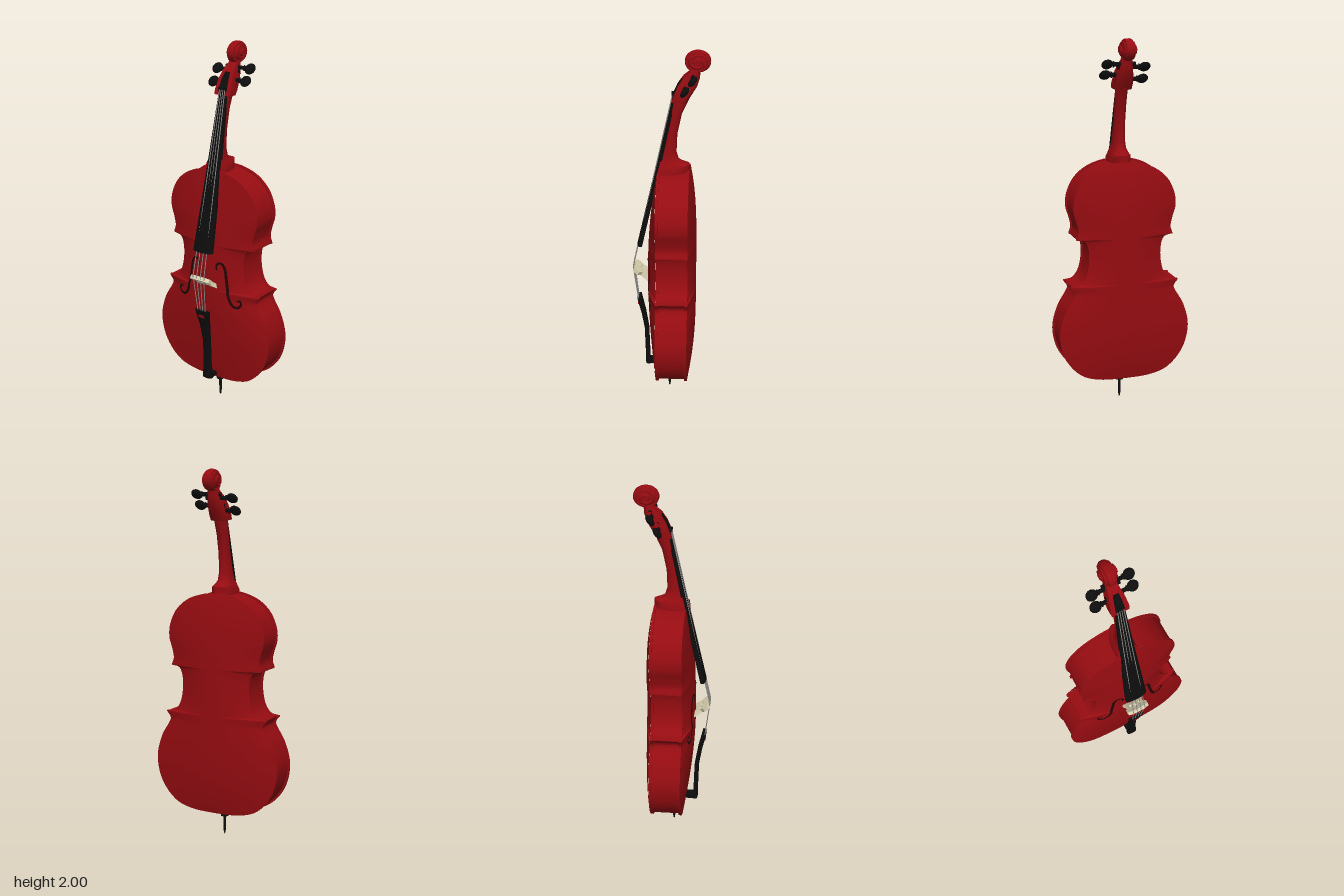
import * as THREE from 'three';
import { toCreasedNormals } from 'three/addons/utils/BufferGeometryUtils.js';

const V2 = (p) => new THREE.Vector2(p[0], p[1]);
const V3 = (x, y, z) => new THREE.Vector3(x, y, z);

// Half outline of the body: lower bout, waist and upper bout meet at sharp corners
const BOUTS = [
  [[0, 0.145], [0.14, 0.152], [0.25, 0.19], [0.335, 0.29], [0.365, 0.42], [0.337, 0.54], [0.288, 0.625], [0.28, 0.655], [0.302, 0.685]],
  [[0.302, 0.69], [0.25, 0.7], [0.215, 0.75], [0.2, 0.83], [0.205, 0.9], [0.225, 0.937], [0.268, 0.946]],
  [[0.268, 0.952], [0.257, 0.99], [0.267, 1.04], [0.284, 1.1], [0.278, 1.17], [0.24, 1.25], [0.17, 1.31], [0.08, 1.342], [0, 1.35]],
];
const HALF = BOUTS.flatMap((b) => new THREE.SplineCurve(b.map(V2)).getPoints(36));

function outlineShape(inset) {
  const side = HALF.map((p) => V2([Math.max(0, p.x - inset), 0.7475 + (p.y - 0.7475) * (1 - inset / 0.6)]));
  const other = side.slice(1, -1).reverse().map((p) => V2([-p.x, p.y]));
  return new THREE.Shape([...side, ...other]);
}

function slab(inset, z0, z1) {
  const g = new THREE.ExtrudeGeometry(outlineShape(inset), { depth: z1 - z0, bevelEnabled: false });
  return toCreasedNormals(g.translate(0, 0, z0), 0.6);
}

// Height of the arched plate; t runs from -1 to 1 across the width
function archZ(front, t, y) {
  const s = Math.abs((y - 0.7475) / 0.6025);
  const rise = (1 - t * t) * (1 - Math.pow(Math.min(1, s), front ? 2 : 4));
  return front ? 0.07 + 0.054 * rise : -0.1 - 0.04 * rise;
}

function archedPlate(front) {
  const cols = 24, pos = [], idx = [];
  HALF.forEach((p, i) => {
    for (let j = 0; j <= cols; j++) {
      const t = (2 * j) / cols - 1;
      pos.push(p.x * t, p.y, archZ(front, t, p.y));
      if (i && j) {
        const d = i * (cols + 1) + j, c = d - 1, b = d - cols - 1, a = b - 1;
        idx.push(...(front ? [a, b, d, a, d, c] : [a, d, b, a, c, d]));
      }
    }
  });
  const g = new THREE.BufferGeometry();
  g.setAttribute('position', new THREE.Float32BufferAttribute(pos, 3));
  g.setIndex(idx);
  g.computeVertexNormals();
  return g;
}

// Loft through sections [yFront, zFront, yBack, zBack, halfWidth]; one side flat, the other rounded
function loft(sections, roundFront, wall) {
  const n = 14, ring = n + 3, pos = [], idx = [];
  const put = (s, x, t) => {
    const k = roundFront ? 1 - t : t;
    pos.push(x, s[0] + (s[2] - s[0]) * k, s[1] + (s[3] - s[1]) * k);
  };
  const dir = roundFront ? -1 : 1;
  sections.forEach((s) => {
    put(s, dir * s[4], 0);
    for (let j = 0; j <= n; j++) {
      const a = (Math.PI * j) / n;
      put(s, dir * s[4] * Math.cos(a), wall + (1 - wall) * Math.sin(a));
    }
    put(s, -dir * s[4], 0);
  });
  const last = sections.length - 1, base = pos.length / 3;
  put(sections[0], 0, 0.4);
  put(sections[last], 0, 0.4);
  for (let j = 0; j < ring; j++) {
    const k = (j + 1) % ring;
    for (let i = 0; i < last; i++) {
      const a = i * ring + j, b = i * ring + k, c = b + ring, d = a + ring;
      idx.push(a, b, c, a, c, d);
    }
    idx.push(base, k, j, base + 1, last * ring + j, last * ring + k);
  }
  const g = new THREE.BufferGeometry();
  g.setAttribute('position', new THREE.Float32BufferAttribute(pos, 3));
  g.setIndex(idx);
  return toCreasedNormals(g, 0.75);
}

function rod(a, b, r) {
  return new THREE.TubeGeometry(new THREE.LineCurve3(a, b), 1, r, 8);
}

// Ribbon laid on the arched front along an S-shaped path
function soundHole(side) {
  const path = new THREE.SplineCurve([[0.062, 0.815], [0.058, 0.835], [0.072, 0.853], [0.095, 0.848], [0.11, 0.815], [0.118, 0.76], [0.128, 0.7],
    [0.14, 0.65], [0.16, 0.622], [0.188, 0.618], [0.205, 0.638], [0.197, 0.658], [0.182, 0.652]].map(V2));
  const n = 70, pos = [], idx = [];
  for (let i = 0; i <= n; i++) {
    const p = path.getPoint(i / n), d = path.getTangent(i / n);
    const w = 0.004 + 0.004 * Math.sin((Math.PI * i) / n);
    for (const k of [-1, 1]) {
      const x = p.x - d.y * w * k, y = p.y + d.x * w * k;
      const near = HALF.reduce((m, q) => (Math.abs(q.y - y) < Math.abs(m.y - y) ? q : m));
      pos.push(side * x, y, archZ(true, x / near.x, y) + 0.004);
    }
    if (i) idx.push(2 * i - 2, 2 * i - 1, 2 * i + 1, 2 * i - 2, 2 * i + 1, 2 * i);
  }
  const g = new THREE.BufferGeometry();
  g.setAttribute('position', new THREE.Float32BufferAttribute(pos, 3));
  g.setIndex(idx);
  g.computeVertexNormals();
  return g;
}

export function createModel() {
  const model = new THREE.Group();
  const mat = (name, color, extra = {}) => Object.assign(new THREE.MeshStandardMaterial({ color, ...extra }), { name });
  const red = mat('red varnish', 0x960c11);
  const black = mat('ebony', 0x0d0d0e);
  const cream = mat('pale maple', 0xd9d0b0);
  const steel = mat('string steel', 0x8c8a86);
  const dark = mat('sound hole dark', 0x220405, { side: THREE.DoubleSide });
  const add = (name, geo, material, parent = model) => {
    const m = new THREE.Mesh(geo, material);
    m.name = name;
    parent.add(m);
    return m;
  };

  // Body
  add('ribs', slab(0.008, -0.09, 0.06), red);
  add('frontEdge', slab(0, 0.056, 0.0695), red);
  add('backEdge', slab(0, -0.0995, -0.086), red);
  add('frontPlate', archedPlate(true), red);
  add('backPlate', archedPlate(false), red);
  for (const s of [-1, 1]) add(s > 0 ? 'leftSoundHole' : 'rightSoundHole', soundHole(s), dark);

  // Neck with heel, then the wider pegbox
  add('neck', loft([
    [1.33, 0.07, 1.33, -0.1, 0.058], [1.36, 0.064, 1.385, -0.1, 0.058], [1.385, 0.058, 1.397, -0.065, 0.048],
    [1.41, 0.052, 1.41, -0.043, 0.04], [1.45, 0.042, 1.45, -0.031, 0.034], [1.55, 0.018, 1.55, -0.035, 0.03],
    [1.66, -0.005, 1.66, -0.058, 0.03], [1.75, -0.02, 1.74, -0.095, 0.03],
  ], false, 0.25), red);
  add('pegbox', loft([
    [1.735, -0.005, 1.73, -0.088, 0.048], [1.76, -0.014, 1.755, -0.102, 0.05], [1.815, -0.036, 1.81, -0.135, 0.043],
    [1.86, -0.066, 1.855, -0.149, 0.034], [1.89, -0.1, 1.895, -0.152, 0.026], [1.92, -0.115, 1.92, -0.16, 0.022],
  ], false, 0.6), red);
  add('pegboxSlot', loft([
    [1.755, -0.006, 1.755, -0.02, 0.025], [1.815, -0.032, 1.815, -0.045, 0.021], [1.85, -0.055, 1.85, -0.07, 0.015],
  ], true, 0.9), black);

  // Scroll: stepped core with a spiral ridge on each side
  const scroll = new THREE.Group();
  scroll.name = 'scroll';
  scroll.position.set(0, 1.943, -0.138);
  scroll.scale.set(1, 1, 1.17);
  model.add(scroll);
  const profile = [[0, -0.046], [0.016, -0.046], [0.018, -0.034], [0.038, -0.03], [0.042, -0.022], [0.053, -0.02], [0.057, -0.01]];
  const full = [...profile, ...profile.slice().reverse().map(([r, h]) => [r, -h])];
  add('scrollCore', toCreasedNormals(new THREE.LatheGeometry(full.map(V2), 32).rotateZ(Math.PI / 2), 0.6), red, scroll);
  for (const s of [-1, 1]) {
    const pts = Array.from({ length: 40 }, (_, i) => {
      const k = i / 39, a = -0.6 - k * Math.PI * 3.5, r = 0.051 - 0.037 * k;
      return V3(s * (0.018 + 0.024 * k), r * Math.sin(a), r * Math.cos(a));
    });
    add('scrollSpiral', new THREE.TubeGeometry(new THREE.CatmullRomCurve3(pts), 90, 0.006, 8), red, scroll);
  }

  // Pegs with flattened knobs
  for (const [s, y, z] of [[-1, 1.85, -0.108], [-1, 1.785, -0.072], [1, 1.868, -0.115], [1, 1.81, -0.075]]) {
    const peg = new THREE.Group();
    peg.name = 'peg';
    peg.position.set(0, y, z);
    peg.rotation.x = -0.68;
    model.add(peg);
    add('pegShaft', rod(V3(-s * 0.05, 0, 0), V3(s * 0.085, 0, 0), 0.011), black, peg);
    add('pegCollar', rod(V3(s * 0.066, 0, 0), V3(s * 0.074, 0, 0), 0.016), black, peg);
    const knob = add('pegKnob', new THREE.SphereGeometry(0.031, 20, 14), black, peg);
    knob.position.x = s * 0.102;
    knob.scale.z = 0.5;
  }

  // Fingerboard and nut
  add('fingerboard', loft([
    [0.915, 0.18, 0.918, 0.152, 0.062], [1.35, 0.082, 1.35, 0.056, 0.043], [1.765, -0.009, 1.765, -0.03, 0.026],
  ], true, 0.45), black);
  add('nut', new THREE.BoxGeometry(0.046, 0.01, 0.02).translate(0, 1.77, -0.014), black);

  // Bridge, leaning forward from its two feet
  const halfBridge = [[0.02, 0.022], [0.026, 0], [0.062, 0], [0.052, 0.026], [0.046, 0.05], [0.063, 0.07], [0.062, 0.094], [0.035, 0.103]];
  const bridgeShape = new THREE.Shape([...halfBridge, ...halfBridge.slice().reverse().map(([x, y]) => [-x, y])].map(V2));
  for (const [x, y, r] of [[-0.028, 0.052, 0.01], [0.028, 0.052, 0.01], [0, 0.06, 0.011]]) {
    bridgeShape.holes.push(new THREE.Path().absarc(x, y, r, 0, Math.PI * 2, true));
  }
  const bridge = add('bridge', new THREE.ExtrudeGeometry(bridgeShape, { depth: 0.022, bevelEnabled: false }).translate(0, 0, -0.011), cream);
  bridge.position.set(0, 0.716, 0.116);
  bridge.rotation.x = 0.95;

  // Strings
  for (const k of [-1.5, -0.5, 0.5, 1.5]) {
    const nut = V3(k * 0.011, 1.77, -0.011), top = V3(k * 0.024, 0.782, 0.203), tail = V3(k * 0.016, 0.565, 0.176);
    add('upperString', rod(nut, top, 0.0025), steel);
    add('lowerString', rod(top, tail, 0.0025), steel);
  }

  // Tailpiece, saddle and endpin
  add('tailpiece', loft([
    [0.158, 0.14, 0.158, 0.115, 0.03], [0.25, 0.142, 0.25, 0.118, 0.023], [0.38, 0.146, 0.38, 0.122, 0.022],
    [0.48, 0.163, 0.48, 0.139, 0.03], [0.55, 0.179, 0.55, 0.157, 0.042], [0.58, 0.185, 0.58, 0.164, 0.046],
  ], true, 0.5), black);
  const slot = add('tailpieceSlot', new THREE.BoxGeometry(0.036, 0.014, 0.006), red);
  slot.position.set(0, 0.546, 0.178);
  slot.rotation.x = 0.2;
  add('saddle', new THREE.BoxGeometry(0.05, 0.024, 0.065).translate(0, 0.17, 0.1), black);
  const pin = [[0, 0], [0.004, 0.005], [0.007, 0.03], [0.008, 0.1], [0.022, 0.104], [0.022, 0.112], [0.013, 0.118], [0.014, 0.126], [0.03, 0.13], [0.03, 0.15], [0, 0.15]];
  const endpin = add('endpin', toCreasedNormals(new THREE.LatheGeometry(pin.map(V2), 20), 0.6), black);
  endpin.position.z = 0.005;

  return model;
}
